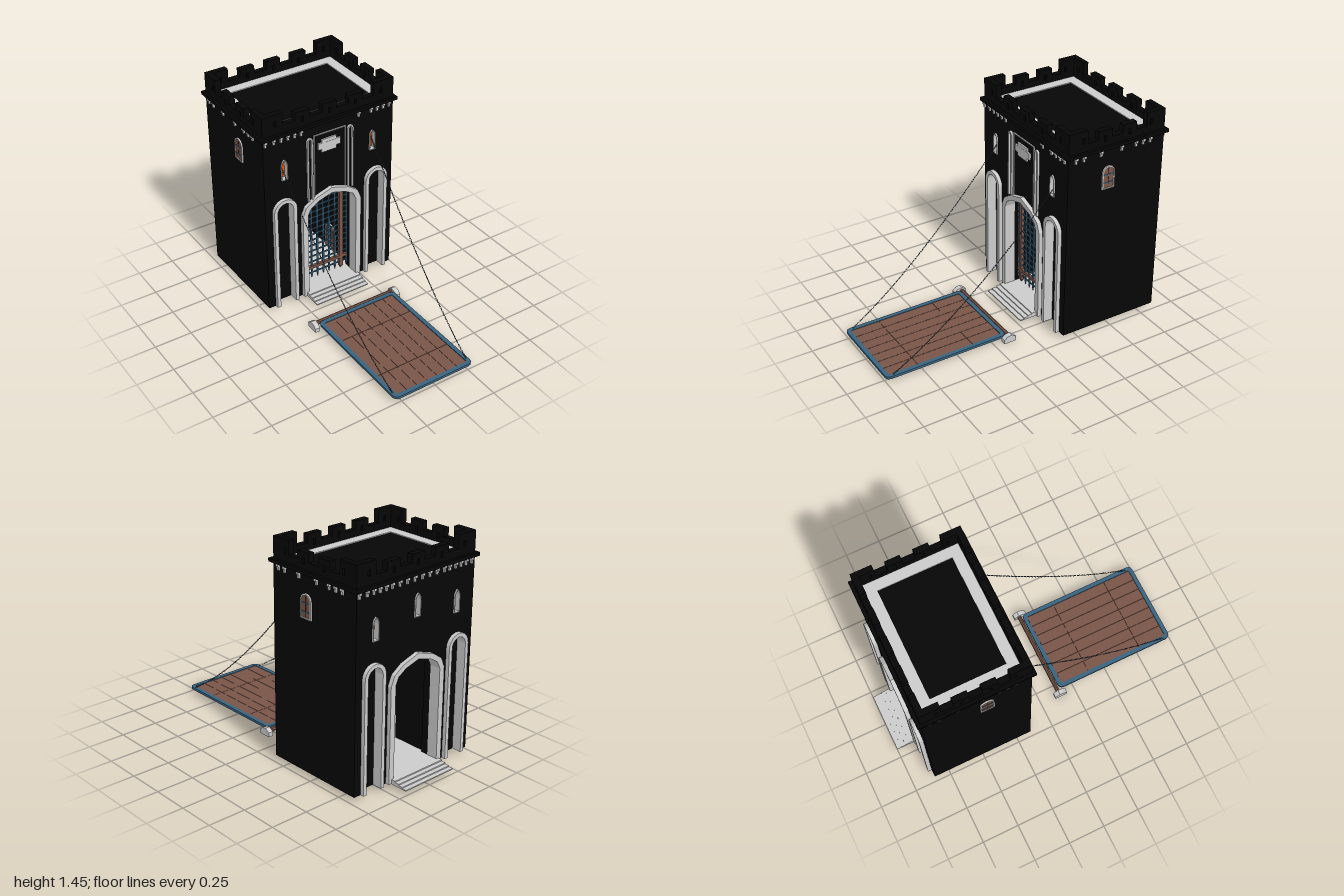
import * as THREE from 'three';

const mat = (color) => new THREE.MeshStandardMaterial({ color, flatShading: true });
const STONE = mat(0xcccccc), BLACK = mat(0x060606), WOOD = mat(0x795548);
const IRON = mat(0x3a647f), GLOW = mat(0xe65100), CHAIN = mat(0x34444f);

const add = (parent, name, geo, material, x = 0, y = 0, z = 0) => {
  const m = new THREE.Mesh(geo, material);
  m.name = name;
  m.position.set(x, y, z);
  parent.add(m);
  return m;
};
// box given by its min and max corners
const box = (parent, name, material, x0, x1, y0, y1, z0, z1) =>
  add(parent, name, new THREE.BoxGeometry(x1 - x0, y1 - y0, z1 - z0), material,
    (x0 + x1) / 2, (y0 + y1) / 2, (z0 + z1) / 2);
const extrude = (outline, holes, depth) => {
  const s = new THREE.Shape(outline);
  s.holes = holes.map((h) => new THREE.Path(h));
  return new THREE.ExtrudeGeometry(s, { depth, bevelEnabled: false });
};
const pts = (list) => list.map(([x, y]) => new THREE.Vector2(x, y));
const rect = (x0, x1, y0, y1) => pts([[x0, y0], [x1, y0], [x1, y1], [x0, y1]]);

// arch outlines: half profile as fractions of half width and rise
const POINTED = [[1, 0], [0.88, 0.42], [0.56, 0.74], [0, 1]];
const ROUND = Array.from({ length: 7 }, (_, i) => [Math.cos(i * Math.PI / 12), Math.sin(i * Math.PI / 12)]);
const arch = (cx, w, y0, spring, top, prof = POINTED) => {
  const half = prof.map(([a, b]) => [a * w, spring + b * (top - spring)]);
  const left = half.slice(0, -1).reverse().map(([a, b]) => [-a, b]);
  return pts([[w, y0], ...half, ...left, [-w, y0]].map(([a, b]) => [a + cx, b]));
};
// arched band standing on its two legs
const archBand = (cx, w, t, y0, spring, top, depth, prof) => {
  const outer = arch(cx, w, y0, spring, top, prof);
  const inner = arch(cx, w - t, y0, spring, top - t, prof).reverse();
  return extrude([...outer, ...inner], [], depth);
};

// framed arched opening with its foot at the origin, facing +z
function archedOpening(name, w, h, t, paneMat, paneZ, prof) {
  const g = new THREE.Group();
  g.name = name;
  const spring = h - w * (prof === ROUND ? 1 : 2);
  add(g, 'openingFrame', extrude(arch(0, w, 0, spring, h, prof),
    [arch(0, w - t, t, spring, h - t, prof)], 0.05), STONE, 0, 0, -0.04);
  add(g, 'openingPane', extrude(arch(0, w - t, t, spring, h - t, prof), [], 0.004), paneMat, 0, 0, paneZ);
  return g;
}
function shutter(name, w, h) {
  const g = archedOpening(name, w, h, 0.008, WOOD, 0.002, ROUND);
  for (const y of [0.25, 0.6]) box(g, 'shutterStrap', IRON, -w * 0.8, w * 0.8, h * y, h * y + 0.007, 0.005, 0.009);
  box(g, 'shutterSeam', BLACK, -0.001, 0.001, 0.01, h - 0.01, 0.005, 0.007);
  return g;
}

// one end wall with gate arch, blind niches, windows and steps; wall face at z = 0.35
function facade(name, windows) {
  const g = new THREE.Group();
  g.name = name;
  const holes = [];
  for (const [x, y] of windows) {
    holes.push(arch(x, 0.02, y, y + 0.1, y + 0.143));
    const w = archedOpening('arrowWindow', 0.023, 0.147, 0.005, GLOW, -0.03);
    w.position.set(x, y - 0.002, 0.35);
    g.add(w);
  }
  const niche = (s) => arch(s * 0.3425, 0.08, 0.03, 0.757, 0.8375, ROUND).reverse();
  const gate = arch(0, 0.184, 0.03, 0.66, 0.777).reverse();
  const outline = [...niche(-1), ...gate, ...niche(1), ...pts([[0.475, 0.03], [0.475, 1.3], [-0.475, 1.3], [-0.475, 0.03]])];
  add(g, 'endWall', extrude(outline, holes, 0.1), BLACK, 0, 0, 0.25);
  add(g, 'gateArch', archBand(0, 0.22, 0.038, 0.03, 0.66, 0.812, 0.075), STONE, 0, 0, 0.302);
  for (const s of [-1, 1]) {
    add(g, 'blindArch', archBand(s * 0.3425, 0.0825, 0.025, 0.03, 0.757, 0.84, 0.066, ROUND), STONE, 0, 0, 0.31);
    add(g, 'nicheBack', extrude(niche(s).reverse(), [], 0.06), BLACK, 0, 0, 0.25);
  }
  for (let i = 0; i < 4; i++)
    box(g, 'step', STONE, -0.2, 0.2, 0.03 + i * 0.0075, 0.0375 + i * 0.0075, 0.34, 0.497 - i * 0.03);
  return g;
}

// parapet wall with raised merlons [x0, x1, top, slit bottom, slit centre]
function parapet(half, merlons) {
  const line = [[-half, 1.31]], holes = [];
  for (const [a, b, top, slit, cx] of merlons) {
    line.push([a, 1.36], [a, top], [b, top], [b, 1.36]);
    holes.push(rect(cx - 0.008, cx + 0.008, slit, slit + 0.038));
  }
  line.push([half, 1.31]);
  return extrude(pts(line).reverse(), holes, 0.04);
}

function tower() {
  const g = new THREE.Group();
  g.name = 'gateTower';
  const front = facade('frontFacade', [[-0.332, 0.975], [0.318, 0.975]]);
  const back = facade('backFacade', [[-0.33, 0.97], [0, 1.03], [0.33, 0.97]]);
  back.rotation.y = Math.PI;
  g.add(front, back);

  // core around the passage
  for (const s of [-1, 1]) {
    box(g, 'sideBlock', BLACK, s < 0 ? -0.475 : 0.2, s < 0 ? -0.2 : 0.475, 0.03, 1.3, -0.25, 0.25);
    const win = shutter('sideWindow', 0.045, 0.155);
    win.position.set(s * 0.475, 1.017, 0.06);
    win.rotation.y = s * Math.PI / 2;
    const door = shutter('passageDoor', 0.06, 0.2);
    door.position.set(s * 0.2, 0.06, 0.05);
    door.rotation.y = -s * Math.PI / 2;
    g.add(win, door);
  }
  box(g, 'upperBlock', BLACK, -0.2, 0.2, 0.685, 1.3, -0.25, 0.25);
  box(g, 'passageFloor', STONE, -0.2, 0.2, 0.028, 0.06, -0.35, 0.35);

  // decoration above the front gate
  for (const s of [-1, 1])
    add(front, 'slenderArch', archBand(s * 0.149, 0.021, 0.011, 0.755, 1.19, 1.211, 0.014, ROUND), STONE, 0, 0, 0.35);
  add(front, 'panelBorder', extrude(rect(-0.119, 0.117, 0.77, 1.217),
    [rect(-0.112, 0.11, 0.772, 1.21)], 0.008), STONE, 0, 0, 0.35);
  box(front, 'plaqueWide', STONE, -0.09, 0.073, 1.106, 1.15, 0.35, 0.362);
  box(front, 'plaqueTall', STONE, -0.063, 0.045, 1.083, 1.173, 0.35, 0.361);

  // cornice, walkway and roof
  box(g, 'cornice', BLACK, -0.495, 0.495, 1.288, 1.31, -0.372, 0.372);
  add(g, 'walkway', extrude(rect(-0.435, 0.435, -0.31, 0.31), [rect(-0.365, 0.365, -0.24, 0.24)], 0.006)
    .rotateX(-Math.PI / 2), STONE, 0, 1.31, 0);
  const long = [[-0.475, -0.33, 1.446, 1.362, -0.383], [-0.245, -0.14, 1.413, 1.338, -0.192],
    [-0.052, 0.052, 1.413, 1.338, 0], [0.14, 0.245, 1.413, 1.338, 0.192], [0.33, 0.475, 1.446, 1.362, 0.383]];
  const short = [[-0.35, -0.215, 1.446, 1.362, -0.245], [-0.138, -0.04, 1.413, 1.338, -0.089],
    [0.04, 0.138, 1.413, 1.338, 0.089], [0.215, 0.35, 1.446, 1.362, 0.245]];
  for (let i = 0; i < 4; i++) {
    const side = i % 2;
    const turn = new THREE.Group();
    turn.name = 'parapetSide';
    turn.rotation.y = i * Math.PI / 2;
    const face = side ? 0.475 : 0.35;
    add(turn, 'parapet', side ? parapet(0.35, short) : parapet(0.475, long), BLACK, 0, 0, face - 0.04);
    // corbels below the cornice
    const xs = side ? [-0.3, -0.243, -0.12, 0.03, 0.136, 0.19, 0.243]
      : [-0.46, -0.4, -0.35, -0.302, -0.255, -0.208, 0.21, 0.305, 0.35, 0.395, 0.44];
    if (i === 2) xs.push(-0.15, -0.09, -0.03, 0.03, 0.09, 0.15, 0.255);
    for (const x of xs) {
      box(turn, 'corbel', STONE, x - 0.009, x + 0.009, 1.272, 1.288, face, face + 0.018);
      box(turn, 'corbelFoot', STONE, x - 0.007, x + 0.007, 1.248, 1.272, face, face + 0.011);
    }
    g.add(turn);
  }
  return g;
}

// grille hanging inside the front arch
function portcullis() {
  const g = new THREE.Group();
  g.name = 'portcullis';
  for (let i = -4; i <= 4; i++) {
    const x = i * 0.0455 - 0.004;
    box(g, 'verticalBar', IRON, x - 0.005, x + 0.005, 0.09, 0.685, -0.005, 0.005);
    add(g, 'barSpike', new THREE.ConeGeometry(0.007, 0.025, 4).rotateX(Math.PI), IRON, x, 0.078, 0);
  }
  for (let i = 0; i < 14; i++) {
    const y = 0.68 - i * 0.0437;
    box(g, 'horizontalBar', IRON, -0.183, 0.183, y - 0.004, y + 0.004, -0.004, 0.004);
  }
  for (const x of [-0.148, 0.132]) {
    box(g, 'post', WOOD, x - 0.013, x + 0.013, 0.085, 0.685, -0.012, 0.012);
    add(g, 'postTip', new THREE.ConeGeometry(0.018, 0.025, 4).rotateY(Math.PI / 4).rotateX(Math.PI), WOOD, x, 0.0725, 0);
  }
  box(g, 'crossBeam', WOOD, -0.18, 0.176, 0.147, 0.168, -0.01, 0.01);
  return g;
}

function drawbridge() {
  const g = new THREE.Group();
  g.name = 'drawbridge';
  // iron rim with rounded corners
  const rim = (w, l, r) => [[1, 1], [-1, 1], [-1, -1], [1, -1]].flatMap(([sx, sy], q) =>
    [0, 1, 2, 3].map((k) => {
      const a = (q + k / 3) * Math.PI / 2;
      return new THREE.Vector2(sx * (w - r) + r * Math.cos(a), sy * (l - r) + r * Math.sin(a));
    }));
  add(g, 'ironRim', extrude(rim(0.292, 0.4225, 0.032), [rim(0.264, 0.3945, 0.008)], 0.017)
    .rotateX(Math.PI / 2), IRON, -0.003, 0.042, 0.5775);
  box(g, 'deckBoard', WOOD, -0.267, 0.261, 0.027, 0.032, 0.183, 0.972);
  const rows = [0.183, 0.385, 0.775, 0.972];
  for (let i = 0; i < 7; i++) for (let r = 0; r < 3; r++) {
    const x = -0.268 + i * 0.0755;
    box(g, 'plank', WOOD, x + 0.001, x + 0.0745, 0.031, 0.038, rows[r] + 0.001, rows[r + 1] - 0.001);
  }
  add(g, 'axle', new THREE.CylinderGeometry(0.014, 0.014, 0.62, 8).rotateZ(Math.PI / 2), WOOD, -0.008, 0.027, 0.138);
  const profile = pts([[-0.045, 0], [0.042, 0], [0.042, 0.028], [0.018, 0.047], [-0.012, 0.052], [-0.045, 0.03]]);
  for (const x of [-0.322, 0.306])
    add(g, 'axleBlock', extrude(profile, [], 0.034).rotateY(-Math.PI / 2), STONE, x + 0.017, 0, 0.148);
  return g;
}

// sagging chain of alternating links
function chain(s) {
  const g = new THREE.Group();
  g.name = s > 0 ? 'leftChain' : 'rightChain';
  const curve = new THREE.QuadraticBezierCurve3(new THREE.Vector3(s * 0.332 - 0.005, 1.055, -0.18),
    new THREE.Vector3(s * 0.305 - 0.005, 0.335, 0.45), new THREE.Vector3(s * 0.278 - 0.005, 0.043, 0.95));
  const link = new THREE.TorusGeometry(0.0038, 0.0013, 4, 8).scale(1, 2.3, 1);
  const n = 104, up = new THREE.Vector3(0, 1, 0);
  for (let i = 0; i <= n; i++) {
    const m = add(g, 'link', link, CHAIN);
    m.position.copy(curve.getPointAt(i / n));
    m.quaternion.setFromUnitVectors(up, curve.getTangentAt(i / n));
    m.rotateY((i % 2) * Math.PI / 2);
  }
  return g;
}

export function createModel() {
  const model = new THREE.Group();
  model.name = 'gatehouse';
  const t = tower();
  t.position.z = -0.503;
  const grille = portcullis();
  grille.position.z = -0.235;
  model.add(t, grille, drawbridge(), chain(-1), chain(1));
  return model;
}
